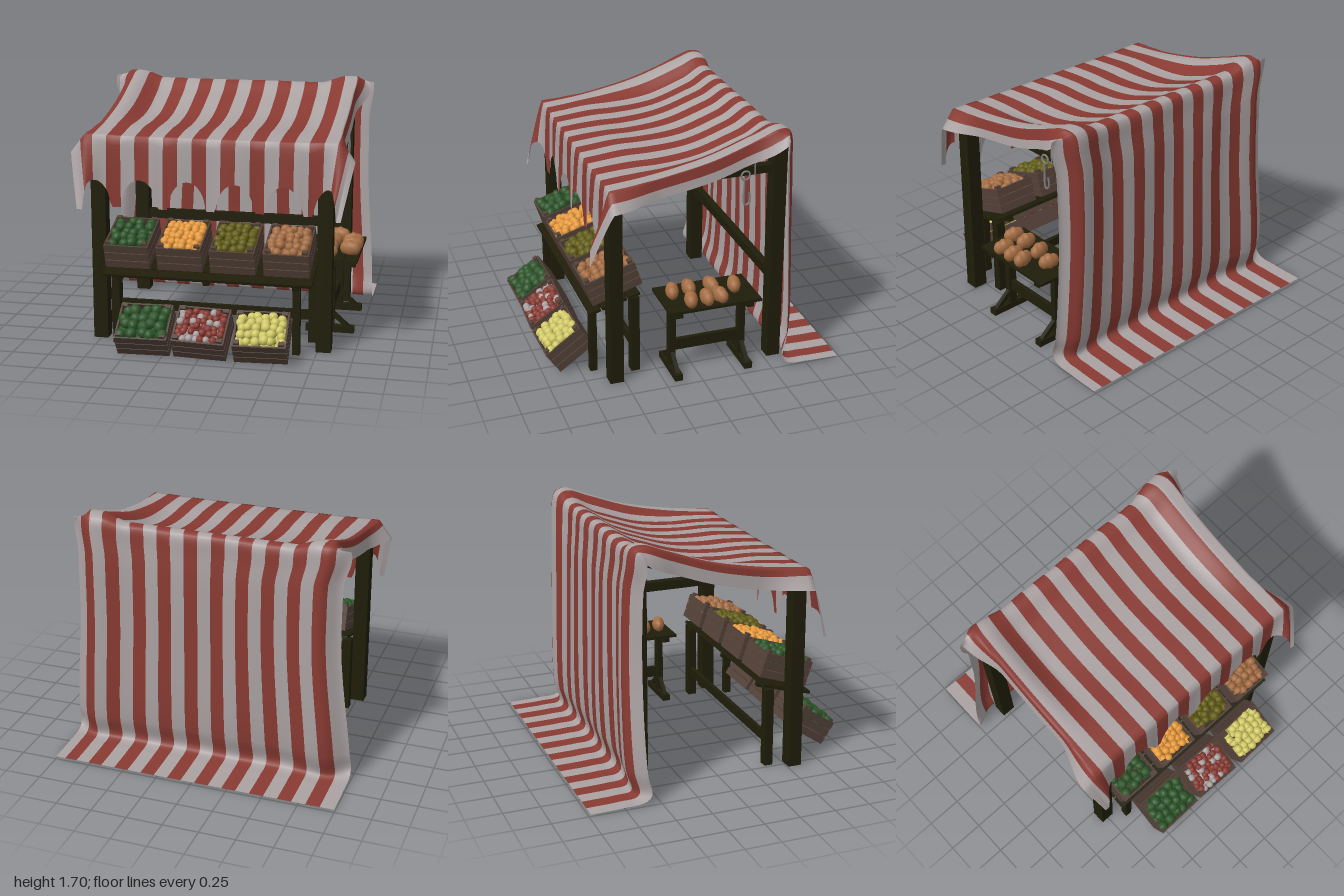
import * as THREE from 'three';
import { mergeGeometries } from 'three/addons/utils/BufferGeometryUtils.js';

const mat = (name, color, side = THREE.FrontSide) => {
  const m = new THREE.MeshStandardMaterial({ color, side });
  m.name = name;
  return m;
};
const { smoothstep, lerp } = THREE.MathUtils;

export function createModel() {
  const white = mat('clothWhite', 0xaaa1a1, THREE.DoubleSide);
  const red = mat('clothRed', 0x883a32, THREE.DoubleSide);
  const wood = mat('darkWood', 0x1f1d09);
  const crateWood = mat('crateWood', 0x524037);
  const green = mat('greenFruit', 0x2c5428);
  const orange = mat('orangeFruit', 0xeb9c3c);
  const olive = mat('oliveFruit', 0x615c14);
  const tan = mat('tanCrust', 0xa36c42);
  const yellow = mat('yellowFruit', 0xd2ca66);
  const metal = mat('metal', 0x808080);

  let seed = 7;
  const rand = () => (seed = (seed * 16807) % 2147483647) / 2147483647;
  const model = new THREE.Group();
  model.name = 'marketStall';
  const group = (name, x = 0, y = 0, z = 0, parent = model) => {
    const g = new THREE.Group();
    g.name = name;
    g.position.set(x, y, z);
    parent.add(g);
    return g;
  };
  const add = (name, geo, m, parent, x = 0, y = 0, z = 0) => {
    const mesh = new THREE.Mesh(geo, m);
    mesh.name = name;
    mesh.position.set(x, y, z);
    parent.add(mesh);
    return mesh;
  };
  const box = (name, m, parent, w, h, d, x, y, z) =>
    add(name, new THREE.BoxGeometry(w, h, d), m, parent, x, y, z);

  // Frame: posts, rafters, tie beams and cross beams
  const frame = group('frame');
  for (const x of [-0.753, 0.79]) {
    box('frontPost', wood, frame, 0.1, 1.3, 0.095, x, 0.65, 0.555);
    box('backPost', wood, frame, 0.1, 1.6, 0.095, x, 0.8, -0.572);
    box('rafter', wood, frame, 0.06, 0.05, 1.16, x, 1.44, 0).rotation.x = 0.243;
    box('tieBeam', wood, frame, 0.06, 0.055, 0.56, x, 1.41, -0.27);
  }
  box('frontCrossBeam', wood, frame, 1.5, 0.07, 0.06, 0.02, 1.26, 0.555);
  box('backCrossBeam', wood, frame, 1.5, 0.07, 0.06, 0.02, 1.54, -0.57);
  box('backRail', wood, frame, 1.5, 0.07, 0.05, 0.02, 0.6, -0.57);

  // Striped cloth: scalloped valance, sagging roof, back curtain and floor flap in one sheet
  const profile = new THREE.CatmullRomCurve3([
    [0.6, 1.425], [0.4, 1.445], [0.2, 1.475], [-0.1, 1.54], [-0.4, 1.645], [-0.55, 1.695], [-0.625, 1.67],
    [-0.655, 1.5], [-0.675, 1.0], [-0.675, 0.2], [-0.64, 0.03], [-0.75, 0.015], [-0.985, 0.01],
  ].map(([z, y]) => new THREE.Vector3(0, y, z)));
  const scallop = (x) => {
    let w = (x + 0.47) / 0.325;
    w = (w - Math.round(w)) / 0.39;
    return 0.94 + 0.19 * Math.sqrt(Math.max(0, 1 - w * w));
  };
  // stripe edges are even, with narrower stripes over the left eave so both borders are white
  const edges = Array.from({ length: 19 }, (_, i) => -0.99 + 0.0975 * i).concat(0.855, 0.94, 1.01);
  const valanceRows = 8, sheetRows = 72, stripes = edges.length - 1, sub = 7, cols = stripes * sub;
  const clothPoint = (u, row) => {
    const hang = Math.max(0, 1 - row / valanceRows);
    const t = Math.max(0, (row - valanceRows) / sheetRows);
    const p = profile.getPoint(t);
    const s = u - 0.01, a = Math.abs(s), side = Math.sign(s);
    const drape = 1 - smoothstep(t, 0.37, 0.54);
    const flare = smoothstep(p.z, 0.25, 0.6) + 0.7 * smoothstep(-p.z, 0.3, 0.55);
    // sides fold down past the posts
    const half = 0.84 + 0.02 * flare, over = Math.max(0, a - half);
    const foldX = 0.02 + side * (Math.min(a, half) + over * (0.1 + 0.58 * flare));
    const pinch = smoothstep(p.y, 0, 1.1) - 0.5 * smoothstep(p.y, 1.4, 1.6);
    const curtainX = 0.005 + s * (1 - pinch * (side < 0 ? 0.095 : 0.055));
    let x = lerp(curtainX, foldX, drape);
    // the roof sags between the posts, most just in front of the ridge
    const inner = 1 - smoothstep(a, 0.58, 0.78);
    const belly = 0.03 * smoothstep(t, 0.1, 0.28) * (1 - smoothstep(t, 0.33, 0.42));
    const sag = inner * (belly + 0.045 * smoothstep(t, 0.05, 0.3) * (1 - smoothstep(t, 0.55, 0.65)) + 0.006);
    let y = p.y - over * 0.87 * drape - (t < 0.6 ? sag : 0);
    y += 0.005 * Math.sin(8 * u) * Math.sin(6 * p.z) * drape * smoothstep(t, 0, 0.1);
    // the curtain hangs further in at the middle, with soft folds and borders curling forward
    const falling = smoothstep(t, 0.42, 0.56) * (1 - smoothstep(t, 0.78, 0.88));
    const curl = 0.085 * smoothstep(a, 0.84, 1) + 0.03 * (1 - smoothstep(a, 0.5, 0.85));
    let z = p.z + falling * (0.005 * Math.sin(10 * u + 1.5 * p.y) + curl);
    if (hang > 0) {
      const corner = smoothstep(a, 0.72, 0.98);
      y = lerp(y, scallop(u), hang);
      z += 0.025 * Math.sqrt(hang) + 0.11 * corner * hang + 0.008 * hang * Math.sin(14 * u);
      x -= side * 0.07 * corner * hang;
    }
    return [x, Math.max(0.008, y), z];
  };
  const pos = [], idx = [[], []];
  const rows = valanceRows + sheetRows;
  for (let r = 0; r <= rows; r++)
    for (let c = 0; c <= cols; c++) {
      const i = Math.min(stripes - 1, Math.floor(c / sub));
      pos.push(...clothPoint(lerp(edges[i], edges[i + 1], c / sub - i), r));
    }
  for (let r = 0; r < rows; r++)
    for (let c = 0; c < cols; c++) {
      const i = r * (cols + 1) + c, j = i + cols + 1;
      idx[Math.floor(c / sub) % 2].push(i, i + 1, j + 1, i, j + 1, j);
    }
  const cloth = new THREE.BufferGeometry();
  cloth.setAttribute('position', new THREE.Float32BufferAttribute(pos, 3));
  cloth.setIndex([...idx[0], ...idx[1]]);
  cloth.addGroup(0, idx[0].length, 0);
  cloth.addGroup(idx[0].length, idx[1].length, 1);
  cloth.computeVertexNormals();
  add('stripedCanopy', cloth, [white, red], model);

  // Sloped display shelf with slats, legs and a low rail
  const shelf = group('displayShelf');
  const top = group('shelfTop', 0.01, 0.535, 0.53, shelf);
  top.rotation.x = 0.28;
  for (let i = 0; i < 4; i++) box('shelfSlat', wood, top, 1.42, 0.02, 0.085, 0, 0, -0.14 + i * 0.094);
  for (const x of [-0.6, 0, 0.6]) box('shelfBatten', wood, top, 0.04, 0.03, 0.36, x, -0.025, 0);
  for (const s of [-1, 1]) {
    box('frontLeg', wood, shelf, 0.05, 0.48, 0.05, s * 0.617, 0.24, 0.66);
    box('backLeg', wood, shelf, 0.065, 0.56, 0.06, s * 0.695, 0.28, 0.39);
  }
  box('lowerRail', wood, shelf, 1.38, 0.065, 0.03, 0, 0.19, 0.39);

  // Crates of slatted boards filled with produce
  const crate = (name, [x, y, z], w, d, tilt, turn, r, ...fruit) => {
    const g = group(name, x, y, z), h = 0.18;
    g.rotation.set(tilt, turn, 0);
    for (let i = -1; i <= 1; i++)
      box('baseBoard', crateWood, g, w - 0.02, 0.012, d / 3 - 0.012, 0, -h / 2 + 0.006, i * (d / 3 - 0.006));
    for (let i = 0; i < 3; i++) {
      const by = -h / 2 + 0.028 + i * 0.06;
      for (const s of [-1, 1]) {
        box('longBoard', crateWood, g, w, 0.054, 0.012, 0, by, s * (d / 2 - 0.006));
        box('endBoard', crateWood, g, 0.012, 0.054, d - 0.024, s * (w / 2 - 0.006), by, 0);
      }
    }
    for (const sx of [-1, 1]) for (const sz of [-1, 1])
      box('cornerBlock', crateWood, g, 0.038, h + 0.014, 0.03, sx * (w / 2 - 0.03), 0.007, sz * (d / 2 - 0.027));
    const piles = fruit.map(() => []);
    const nx = Math.round((w - 0.04) / (r * 1.75)), nz = Math.round((d - 0.04) / (r * 1.75));
    for (let layer = 0; layer < 2; layer++)
      for (let i = 0; i < nx; i++) for (let k = 0; k < nz; k++) {
        const ball = new THREE.SphereGeometry(r * (0.95 + 0.2 * rand()), 10, 7);
        ball.rotateX(rand() * 3).rotateZ(rand() * 3);
        const fx = ((i + 0.5 + (rand() - 0.5) * 0.5) / nx - 0.5) * (w - 0.04);
        const fz = ((k + 0.5 + (rand() - 0.5) * 0.5) / nz - 0.5) * (d - 0.04);
        const dome = 0.025 * (1 - (2 * fx / w) ** 2) * (1 - (2 * fz / d) ** 2);
        ball.translate(fx, 0.06 - layer * r * 1.2 + dome + rand() * 0.012, fz);
        piles[Math.floor(rand() * piles.length)].push(ball);
      }
    piles.forEach((p, i) => add('produce', mergeGeometries(p), fruit[i], g));
  };
  [[green, 0.034], [orange, 0.027], [olive, 0.03], [tan, 0.031]].forEach(([m, r], i) =>
    crate('upperCrate', [-0.535 + i * 0.361, 0.675, 0.53], 0.305, 0.362, 0.32, 0, r, m));
  crate('lowerCrate', [-0.378, 0.16, 0.815], 0.355, 0.295, 0.6, 0.02, 0.037, green);
  crate('lowerCrate', [0.012, 0.16, 0.815], 0.355, 0.295, 0.6, -0.03, 0.024, red, white, red);
  crate('lowerCrate', [0.413, 0.16, 0.815], 0.355, 0.295, 0.6, 0.03, 0.03, yellow);

  // Trestle side table
  const table = group('sideTable', 0.78, 0, -0.095);
  for (let i = 0; i < 4; i++) box('tableBoard', wood, table, 0.09, 0.02, 0.65, -0.141 + i * 0.094, 0.53, 0);
  for (const z of [-0.25, 0.25]) {
    box('tablePost', wood, table, 0.06, 0.46, 0.045, 0, 0.27, z);
    box('tableFoot', wood, table, 0.34, 0.045, 0.055, 0, 0.023, z);
    box('tableBearer', wood, table, 0.34, 0.04, 0.05, 0, 0.5, z);
    for (const s of [-1, 1])
      box('tableBrace', wood, table, 0.03, 0.17, 0.03, s * 0.07, 0.09, z).rotation.z = s * 0.85;
  }
  box('tableStretcher', wood, table, 0.03, 0.08, 0.5, 0, 0.19, 0);

  // Bread loaves with a ribbed, puffed crust and a flat base
  const loaves = group('breadLoaves');
  [[0.9, 0.06], [0.905, -0.05], [0.9, -0.145], [0.75, 0.14], [0.74, 0.02], [0.75, -0.135], [0.79, -0.285]].forEach(([x, z], i) => {
    const geo = new THREE.SphereGeometry(1, 18, 12);
    const p = geo.attributes.position;
    for (let v = 0; v < p.count; v++) {
      const k = 1 + 0.08 * Math.cos(p.getX(v) * 9);
      p.setXYZ(v, p.getX(v), Math.max(-0.8, p.getY(v) * k), p.getZ(v) * k);
    }
    geo.scale(0.075, 0.054, 0.045);
    geo.computeVertexNormals();
    add('loaf', geo, tan, loaves, x, 0.584, z).rotation.y = (i % 3 - 1) * 0.2;
  });

  // Hanging hook on the side beam
  const hook = group('hangingHook', 0.835, 0, -0.33);
  add('hookRing', new THREE.TorusGeometry(0.03, 0.007, 6, 16), metal, hook, 0, 1.39, 0).rotation.y = Math.PI / 2;
  add('hookShank', new THREE.CylinderGeometry(0.007, 0.007, 0.18, 6), metal, hook, 0, 1.28, 0.008);
  const bend = new THREE.CatmullRomCurve3([[1.3, 0.008], [1.22, 0.01], [1.18, 0], [1.19, -0.025], [1.24, -0.032], [1.27, -0.025]]
    .map(([y, z]) => new THREE.Vector3(0, y, z)));
  add('hookBend', new THREE.TubeGeometry(bend, 20, 0.007, 6), metal, hook);
  add('hookPin', new THREE.CylinderGeometry(0.005, 0.005, 0.1, 6), metal, hook, 0, 1.43, -0.065);
  return model;
}
